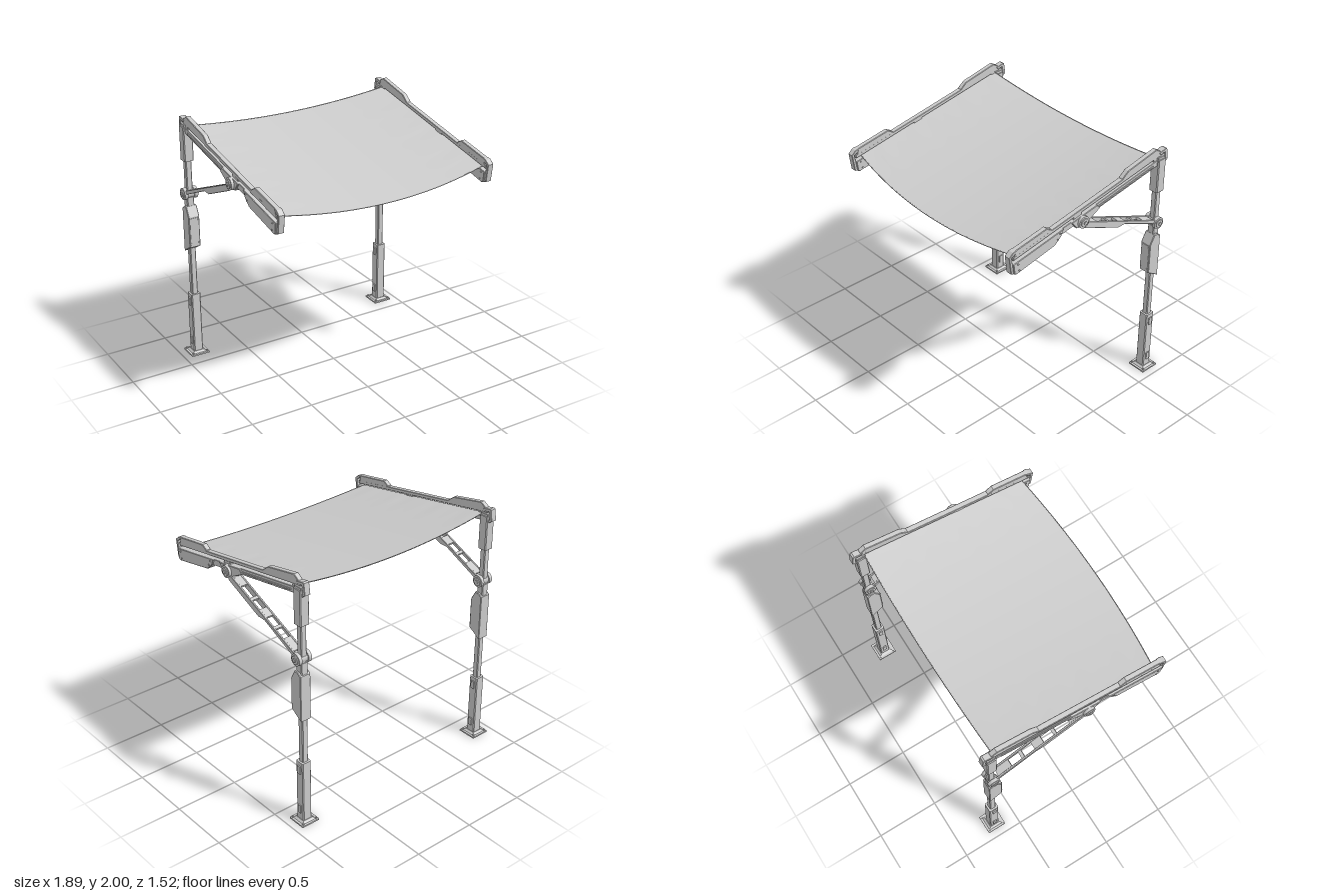
import * as THREE from 'three';

const POST_X = 0.867, POST_Z = -0.68;
const grey = new THREE.MeshStandardMaterial({ color: 0xcccccc, flatShading: true });
const cloth = new THREE.MeshStandardMaterial({ color: 0xcccccc, side: THREE.DoubleSide });

// Slope of the roof: height of the canvas slot at depth z
const roofY = z => 1.806 - 0.1765 * z;
// Points given as [z, height above the slot line]
const onRoof = pts => pts.map(([z, h]) => [z, roofY(z) + h]);

function add(group, name, geometry, material = grey) {
  const mesh = new THREE.Mesh(geometry, material);
  mesh.name = name;
  group.add(mesh);
  return mesh;
}

// One post with its roof rail; s is +1 for the left side, -1 for the right.
// Offsets d are measured outward from the post's centre plane.
function createSide(s) {
  const g = new THREE.Group();
  g.name = s > 0 ? 'leftFrame' : 'rightFrame';
  const X = d => s * (POST_X + d);

  // Side profile of [z, y] points, extruded across x from d0 to d1
  const plate = (name, pts, d0, d1, bevel = 0.003) => {
    const shape = new THREE.Shape(pts.map(([z, y]) => new THREE.Vector2(z, y)));
    const geo = new THREE.ExtrudeGeometry(shape, {
      depth: d1 - d0 - 2 * bevel, bevelEnabled: true, bevelSize: bevel,
      bevelOffset: -bevel, bevelThickness: bevel, bevelSegments: 1,
    });
    geo.rotateY(-Math.PI / 2);
    geo.translate(Math.max(X(d0), X(d1)) - bevel, 0, 0);
    return add(g, name, geo);
  };
  const box = (name, d, y, z, w, h, l, tilt = 0) => {
    const m = add(g, name, new THREE.BoxGeometry(w, h, l));
    m.position.set(X(d), y, z);
    m.rotation.x = tilt;
    return m;
  };
  // Cylinder lying along x
  const disc = (name, d0, d1, y, z, r, sides = 24) => {
    const m = add(g, name, new THREE.CylinderGeometry(r, r, d1 - d0, sides));
    m.rotation.z = Math.PI / 2;
    m.position.set(X((d0 + d1) / 2), y, z);
  };
  // Square sleeve with chamfered corners
  const sleeve = (name, y0, y1, w, c) => {
    const a = w / 2, b = a - c;
    const shape = new THREE.Shape([[a, -b], [a, b], [b, a], [-b, a], [-a, b], [-a, -b], [-b, -a], [b, -a]]
      .map(p => new THREE.Vector2(...p)));
    const geo = new THREE.ExtrudeGeometry(shape, { depth: y1 - y0, bevelEnabled: false });
    geo.rotateX(-Math.PI / 2);
    add(g, name, geo).position.set(X(0), y0, POST_Z);
  };

  // Foot
  box('basePlate', 0, 0.006, POST_Z, 0.152, 0.012, 0.152);
  const flange = add(g, 'baseFlange', new THREE.CylinderGeometry(0.06, 0.085, 0.014, 4).rotateY(Math.PI / 4));
  flange.position.set(X(0), 0.018, POST_Z);
  for (const i of [-1, 1]) for (const j of [-1, 1]) {
    const bolt = add(g, 'baseBolt', new THREE.CylinderGeometry(0.008, 0.008, 0.012, 6));
    bolt.position.set(X(0.06 * i), 0.017, POST_Z + 0.06 * j);
  }

  // Post and sleeves
  sleeve('pole', 0.02, 1.9, 0.048, 0.006);
  sleeve('lowerSleeve', 0.012, 0.525, 0.077, 0.007);
  sleeve('upperSleeve', 1.64, 1.91, 0.077, 0.007);
  for (const i of [-1, 1]) for (const y of [0.115, 0.46])
    box('sleeveLatch', 0.041 * i, y, POST_Z, 0.012, 0.065, 0.03);

  // Control housing around the post
  plate('housing', [[-0.61, 0.95], [-0.61, 1.2], [-0.65, 1.275], [-0.68, 1.275], [-0.715, 1.25], [-0.715, 0.885]], -0.045, 0.045, 0.005);
  box('housingPanel', 0, 1.08, -0.609, 0.074, 0.22, 0.006);
  for (const i of [-1, 1]) for (const y of [0.985, 1.175]) {
    const screw = add(g, 'housingScrew', new THREE.CylinderGeometry(0.005, 0.005, 0.006, 8).rotateX(Math.PI / 2));
    screw.position.set(X(0.03 * i), y, -0.605);
  }
  sleeve('housingNeck', 1.24, 1.345, 0.058, 0.006);

  // Pivots at both ends of the brace
  for (const [name, y, z] of [['lowerPivot', 1.375, -0.675], ['upperPivot', 1.732, 0.1]]) {
    disc(name + 'Barrel', -0.05, 0.05, y, z, 0.036);
    for (const i of [-1, 1]) {
      const cap = (n, a, b, r, k) => disc(name + n, Math.min(a * i, b * i), Math.max(a * i, b * i), y, z, r, k);
      cap('Disc', 0.028, 0.054, 0.046);
      cap('Cap', 0.054, 0.062, 0.032);
      cap('Bolt', 0.06, 0.069, 0.015, 6);
    }
  }

  // Diagonal brace: two cheeks joined by cross pieces
  const cheek = [[0.09, 1.72], [0.04, 1.706], [-0.66, 1.404], [-0.66, 1.37], [-0.323, 1.523], [-0.254, 1.523], [0.08, 1.67]];
  plate('braceCheek', cheek, 0.027, 0.043);
  plate('braceCheek', cheek, -0.043, -0.027);
  for (const [z, l] of [[0.0, 0.09], [-0.16, 0.025], [-0.29, 0.08], [-0.42, 0.025], [-0.57, 0.12]])
    box('braceCrossPiece', 0, 1.677 + 0.432 * z, z, 0.06, 0.018, l, -0.407);

  // Roof rail: upper and lower bars with the canvas slot between
  plate('upperRail', onRoof([[0.72, 0.009], [0.72, 0.036], [-0.7, 0.036], [-0.7, 0.009]]), -0.02, 0.02);
  plate('lowerRail', onRoof([[0.7, -0.01], [-0.7, -0.01], [-0.7, -0.058], [0.7, -0.058]]), -0.022, 0.022);
  for (const i of [-1, 1])
    plate('railStrip', onRoof([[-0.02, -0.03], [-0.6, -0.03], [-0.6, -0.043], [-0.02, -0.043]]), 0.024 * i - 0.004, 0.024 * i + 0.004, 0.001);
  for (const z of [0.12, -0.66])
    plate('railSpacer', onRoof([[z + 0.05, -0.015], [z + 0.05, 0.015], [z - 0.03, 0.015], [z - 0.03, -0.015]]), -0.016, 0.016);

  // Raised fins on top of the rail
  plate('frontFin', onRoof([[0.71, 0.03], [0.705, 0.079], [0.42, 0.077], [0.375, 0.042], [0.37, 0.03]]), -0.02, 0.02, 0.004);
  plate('rearFin', onRoof([[-0.29, 0.03], [-0.3, 0.043], [-0.35, 0.074], [-0.63, 0.082], [-0.67, 0.05], [-0.68, 0.03]]), -0.02, 0.02, 0.004);

  // Front cover with screws
  plate('frontCover', onRoof([[0.73, -0.01], [0.275, -0.01], [0.296, -0.057], [0.355, -0.098], [0.7, -0.106], [0.72, -0.095]]), -0.033, 0.033, 0.004);
  for (const i of [-1, 1]) for (const [z, h] of [[0.68, -0.085], [0.69, -0.03], [0.33, -0.06], [0.31, -0.025]])
    disc('coverScrew', 0.035 * i - 0.004, 0.035 * i + 0.004, roofY(z) + h, z, 0.006, 8);

  // Bracket carrying the upper pivot
  plate('pivotBracket', onRoof([[0.2, -0.01], [-0.04, -0.01], [-0.07, -0.05], [0.04, -0.09], [0.1, -0.1], [0.15, -0.085], [0.175, -0.05]]), -0.034, 0.034, 0.004);

  // Hooked end caps
  plate('frontEndCap', onRoof([[0.7, 0.079], [0.725, 0.079], [0.76, 0.055], [0.742, -0.085], [0.7, -0.108], [0.69, -0.09], [0.722, -0.075], [0.737, 0.045], [0.7, 0.06]]), -0.024, 0.024);
  plate('rearEndCap', onRoof([[-0.66, 0.04], [-0.67, 0.02], [-0.715, 0.018], [-0.725, -0.045], [-0.68, -0.05], [-0.68, -0.066], [-0.72, -0.07], [-0.75, -0.055], [-0.738, 0.035], [-0.725, 0.043]]), -0.024, 0.024);
  plate('postHead', [[-0.645, 1.9], [-0.645, 1.93], [-0.715, 1.93], [-0.715, 1.9]], -0.03, 0.03);
  return g;
}

// Sagging canvas: u runs -1..1 across, v 0..1 from back to front
function canvasPoint(u, v) {
  const mid = 1 - u * u;
  const zBack = -0.65 - 0.014 * mid, zFront = 0.668 + 0.072 * mid;
  const z = zBack + (zFront - zBack) * v;
  // Height follows the rails, so bowed edges keep the same slope
  const edgeZ = -0.65 + 1.318 * v;
  const pull = Math.pow(Math.abs(u), 8) * mid;
  const crease = 0.012 * pull * (Math.sin(v * 31) + 0.6 * Math.sin(v * 53 + u));
  return new THREE.Vector3(u * 0.862, roofY(edgeZ) - (0.06 + 0.01 * v) * mid + crease, z);
}

function createCanvas() {
  const g = new THREE.Group();
  g.name = 'canopy';
  const geo = new THREE.PlaneGeometry(2, 1, 72, 72).rotateX(-Math.PI / 2);
  const p = geo.attributes.position;
  for (let i = 0; i < p.count; i++) {
    const q = canvasPoint(p.getX(i), p.getZ(i) + 0.5);
    p.setXYZ(i, q.x, q.y, q.z);
  }
  geo.computeVertexNormals();
  add(g, 'canvas', geo, cloth);

  // Rolled hems along the front and back edges
  for (const [name, v] of [['backHem', 0], ['frontHem', 1]]) {
    const pts = Array.from({ length: 25 }, (_, i) => canvasPoint(i / 12 - 1, v));
    add(g, name, new THREE.TubeGeometry(new THREE.CatmullRomCurve3(pts), 48, 0.003, 6), cloth);
  }
  return g;
}

export function createModel() {
  const model = new THREE.Group();
  model.name = 'sunShade';
  model.add(createSide(1), createSide(-1), createCanvas());
  return model;
}
